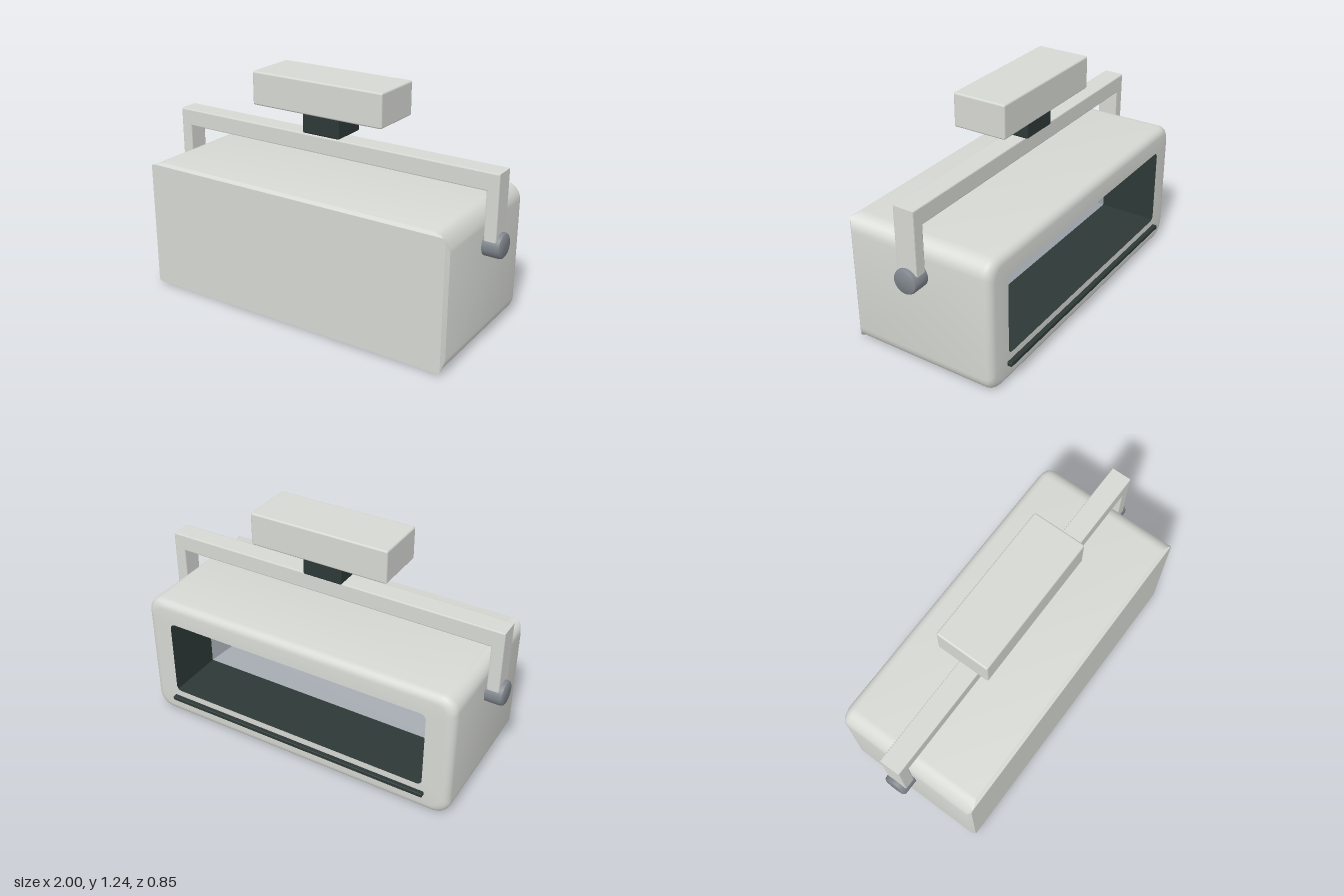
import * as THREE from 'three';
import { toCreasedNormals } from 'three/addons/utils/BufferGeometryUtils.js';
import { RoundedBoxGeometry } from 'three/addons/geometries/RoundedBoxGeometry.js';

const material = (name, color) => {
  const m = new THREE.MeshStandardMaterial({ color });
  m.name = name;
  return m;
};

// Counter-clockwise rounded rectangle centred on (0, cy); steps 0 gives plain corners
function roundedRect(w, h, r, cy, steps = 8) {
  const points = [];
  [[1, 1], [-1, 1], [-1, -1], [1, -1]].forEach(([sx, sy], corner) => {
    for (let i = 0; i <= steps; i++) {
      const a = (corner + i / (steps || 1)) * Math.PI / 2;
      points.push(new THREE.Vector2(sx * (w - r) + r * Math.cos(a), cy + sy * (h - r) + r * Math.sin(a)));
    }
  });
  return points;
}

// Skin through sections [halfWidth, halfHeight, radius, centreY, z]
function loft(sections, steps) {
  const positions = [], index = [];
  sections.forEach(([w, h, r, cy, z], s) => {
    const ring = roundedRect(w, h, r, cy, steps), n = ring.length;
    ring.forEach(p => positions.push(p.x, p.y, z));
    if (s === 0) return;
    for (let i = 0; i < n; i++) {
      const j = (i + 1) % n, p = (s - 1) * n, q = s * n;
      index.push(p + i, q + i, q + j, p + i, q + j, p + j);
    }
  });
  const g = new THREE.BufferGeometry();
  g.setAttribute('position', new THREE.Float32BufferAttribute(positions, 3));
  g.setIndex(index);
  return toCreasedNormals(g, 0.6);
}

export function createModel() {
  const model = new THREE.Group();
  model.name = 'floodlight';
  const casing = material('light grey casing', 0xd6d8d3);
  const dark = material('dark green grey', 0x2d3837);
  const reflectorGrey = material('reflector grey', 0x9aa0a6);
  const knobGrey = material('knob grey', 0x80868c);

  const add = (name, geometry, mat, x = 0, y = 0, z = 0) => {
    const mesh = new THREE.Mesh(geometry, mat);
    mesh.name = name;
    mesh.position.set(x, y, z);
    model.add(mesh);
    return mesh;
  };
  // Softly rounded box given by its limits
  const box = (name, mat, [x0, x1], [y0, y1], [z0, z1], r = 0.01) =>
    add(name, new RoundedBoxGeometry(x1 - x0, y1 - y0, z1 - z0, 2, r), mat,
      (x0 + x1) / 2, (y0 + y1) / 2, (z0 + z1) / 2);

  // Housing: squarer front rim, straight walls, rounded lip around the opening
  const W = 0.905, H = 0.3625, CY = 0.3625;
  const front = [W - 0.017, H - 0.013, 0.015, CY];
  const shell = [[...front, 0.424], [W, H, 0.085, CY, 0.405]];
  for (let i = 0; i <= 5; i++) {
    const a = i / 5 * Math.PI / 2, inset = 0.045 * (1 - Math.cos(a));
    shell.push([W - inset, H - inset, 0.085 - inset * 0.4, CY, -0.355 - 0.045 * Math.sin(a)]);
  }
  const OW = 0.757, OH = 0.22, OY = 0.378;
  shell.push([OW, OH, 0.03, OY, -0.4]);
  add('housing', loft(shell), casing);
  add('housingFace', new THREE.ShapeGeometry(new THREE.Shape(roundedRect(...front))), casing, 0, 0, 0.424);

  // Recess: dark tunnel, tapering grey reflector, dark end panel
  const throat = [OW, OH, 0, OY];
  const panel = [OW - 0.08, OH - 0.07, 0, OY];
  add('recessWalls', loft([[...throat, -0.4], [...throat, -0.07]], 0), dark);
  add('reflectorWalls', loft([[...throat, -0.07], [...panel, 0.05]], 0), reflectorGrey);
  add('recessPanel', new THREE.ShapeGeometry(new THREE.Shape(roundedRect(...panel, 0))), dark, 0, 0, 0.05)
    .rotation.y = Math.PI;

  // Thin bar under the opening
  box('openingBar', dark, [-0.772, 0.772], [0.098, 0.121], [-0.425, -0.395], 0.005);

  // Bracket: one extruded frame
  const frame = new THREE.Shape([
    [-0.969, 0.545], [-0.916, 0.545], [-0.916, 0.836], [0.916, 0.836],
    [0.916, 0.545], [0.969, 0.545], [0.969, 0.919], [-0.969, 0.919],
  ].map(([x, y]) => new THREE.Vector2(x, y)));
  const bevel = 0.006;
  add('bracket', new THREE.ExtrudeGeometry(frame, {
    depth: 0.115 - 2 * bevel, bevelThickness: bevel, bevelSize: bevel, bevelSegments: 2,
  }), casing, 0, 0, -0.045 + bevel);

  // Pivot knobs on both ends
  const knobProfile = [[0, 0], [0.066, 0], [0.066, 0.08], [0.063, 0.089], [0.054, 0.095], [0, 0.095]]
    .map(([r, y]) => new THREE.Vector2(r, y));
  for (const side of [-1, 1]) {
    const knob = add(side > 0 ? 'leftKnob' : 'rightKnob',
      toCreasedNormals(new THREE.LatheGeometry(knobProfile, 32), 0.6), knobGrey, side * 0.905, 0.547, 0.012);
    knob.rotation.z = -side * Math.PI / 2;
  }

  // Mounting block above the bracket
  box('mountNeck', dark, [-0.112, 0.112], [0.943, 1.06], [-0.086, 0.112]);
  box('mountBlock', casing, [-0.39, 0.388], [1.06, 1.24], [-0.136, 0.16]);
  return model;
}
